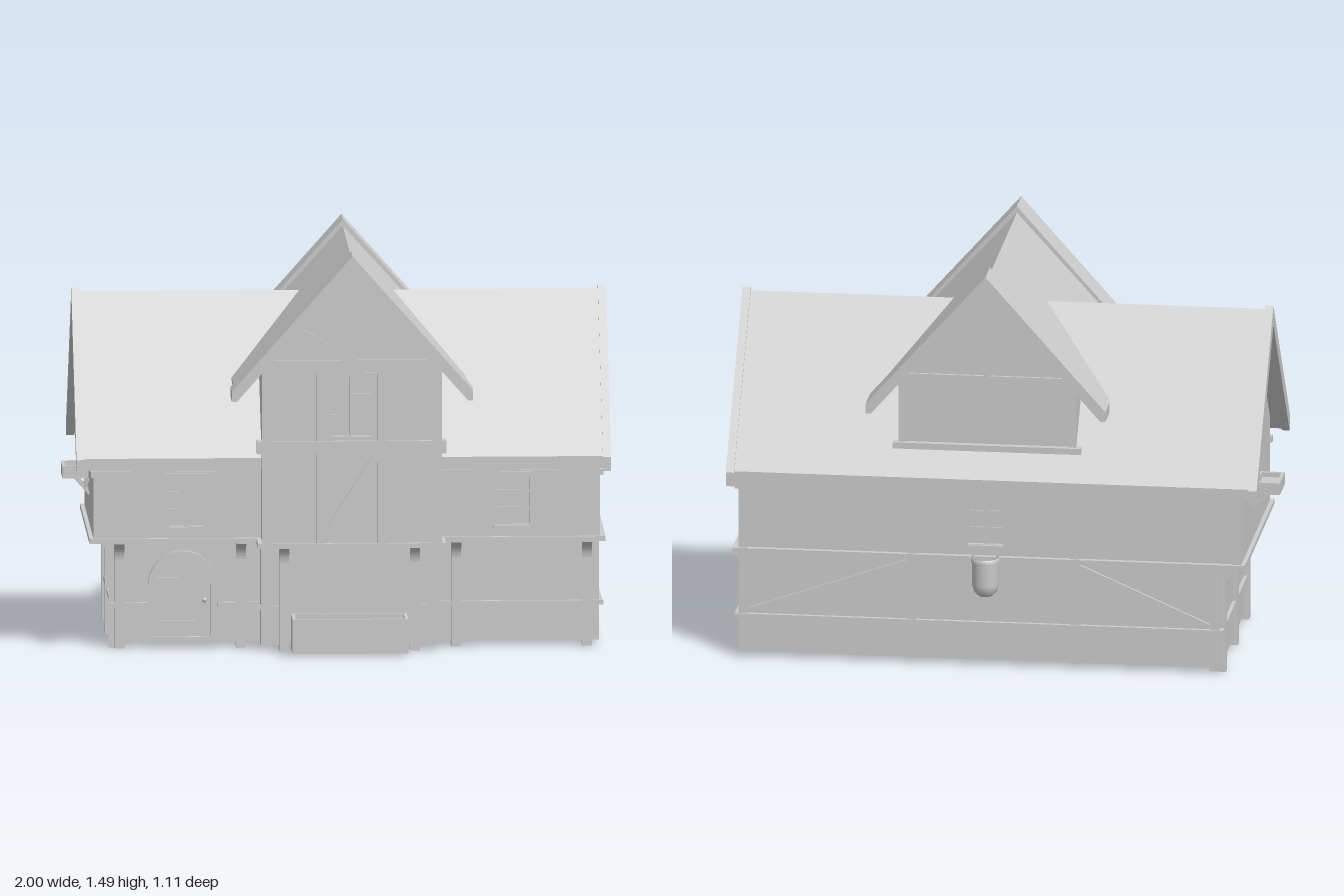
import * as THREE from 'three';

const mat = new THREE.MeshStandardMaterial({ color: 0xcccccc, flatShading: true });
const smooth = new THREE.MeshStandardMaterial({ color: 0xcccccc, side: THREE.DoubleSide });

function add(parent, name, geo, x = 0, y = 0, z = 0, m = mat) {
  const mesh = new THREE.Mesh(geo, m);
  mesh.name = name;
  mesh.position.set(x, y, z);
  parent.add(mesh);
  return mesh;
}
// Box given by its limits
function box(parent, name, x0, x1, y0, y1, z0, z1) {
  return add(parent, name, new THREE.BoxGeometry(x1 - x0, y1 - y0, z1 - z0),
    (x0 + x1) / 2, (y0 + y1) / 2, (z0 + z1) / 2);
}
// Slanted timber on a wall that faces z
function beam(parent, name, xa, ya, xb, yb, z, w = 0.025, d = 0.02) {
  const m = add(parent, name, new THREE.BoxGeometry(Math.hypot(xb - xa, yb - ya), w, d), (xa + xb) / 2, (ya + yb) / 2, z);
  m.rotation.z = Math.atan2(yb - ya, xb - xa);
  return m;
}
const poly = pts => new THREE.Shape(pts.map(p => new THREE.Vector2(p[0], p[1])));
const extrude = (shape, depth) => new THREE.ExtrudeGeometry(shape, { depth, bevelEnabled: false, curveSegments: 10 });
// Profile in (z, y) swept along x
function alongX(parent, name, pts, x0, x1) {
  add(parent, name, extrude(poly(pts.map(([z, y]) => [-z, y])), x1 - x0), x0).rotation.y = Math.PI / 2;
}
// Chevron roof section
function chevron(c, half, ridge, eave, lip, under) {
  return [[c, ridge], [c - half, eave], [c - half, eave - lip], [c - half + 0.018, eave - lip],
    [c, under], [c + half - 0.018, eave - lip], [c + half, eave - lip], [c + half, eave]];
}
// Rectangle with an optional round head, base at y = 0
function opening(w, h, arched, inset = 0, Type = THREE.Shape) {
  const s = new Type(), r = w / 2 - inset;
  s.moveTo(-r, inset);
  s.lineTo(r, inset);
  if (arched) {
    s.lineTo(r, h - w / 2);
    s.absarc(0, h - w / 2, r, 0, Math.PI, false);
  } else {
    s.lineTo(r, h - inset);
    s.lineTo(-r, h - inset);
  }
  s.closePath();
  return s;
}
function frame(parent, name, w, h, arched, t, depth) {
  const s = opening(w, h, arched);
  s.holes.push(opening(w, h, arched, t, THREE.Path));
  add(parent, name, extrude(s, depth));
}
function makeWindow(parent, name, x, y, z, rot, w, h, arched, sill) {
  const g = new THREE.Group();
  g.name = name;
  g.position.set(x, y, z);
  g.rotation.y = rot;
  parent.add(g);
  frame(g, 'windowFrame', w, h, arched, 0.016, 0.018);
  add(g, 'windowPane', extrude(opening(w, h, arched, 0.01), 0.003));
  box(g, 'mullion', -0.005, 0.005, 0.01, h - 0.01, 0, 0.01);
  for (const f of [0.36, 0.66]) box(g, 'glazingBar', -w / 2 + 0.01, w / 2 - 0.01, h * f - 0.004, h * f + 0.004, 0, 0.008);
  if (sill) box(g, 'sill', -w / 2 + 0.015, w / 2 - 0.015, 0, 0.014, 0, 0.03);
  return g;
}
// Post with a curved bracket under the overhang
function post(parent, x, z, rot) {
  const s = new THREE.Shape();
  s.moveTo(-0.04, 0);
  s.lineTo(0.02, 0);
  s.lineTo(0.02, 0.33);
  s.quadraticCurveTo(0.025, 0.385, 0.085, 0.395);
  s.lineTo(0.085, 0.41);
  s.lineTo(-0.04, 0.41);
  s.closePath();
  const g = new THREE.Group();
  g.name = 'bracketPost';
  g.position.set(x, 0, z);
  g.rotation.y = rot;
  add(g, 'post', extrude(s, 0.036), 0.018).rotation.y = -Math.PI / 2;
  parent.add(g);
}

export function createModel() {
  const house = new THREE.Group();
  house.name = 'house';
  const C = -0.058, WX = 0.044; // ridge lines of main house and cross wing

  // Walls
  box(house, 'lowerWall', -0.82, 0.96, 0.02, 0.41, -0.48, 0.262);
  box(house, 'wingLowerWall', -0.285, 0.37, 0.02, 0.41, 0.1, 0.355);
  alongX(house, 'upperWall', [[-0.48, 0.405], [0.36, 0.405], [0.36, 0.745], [C, 1.235], [-0.48, 0.745]], -0.9, 0.96);
  box(house, 'wingUpperWall', -0.285, 0.37, 0.405, 0.81, 0.2, 0.508);
  add(house, 'wingGableWall', extrude(poly([[-0.285, 0.8], [0.37, 0.8], [0.37, 1.08], [WX, 1.44], [-0.285, 1.08]]), 0.958), 0, 0, -0.45);

  // Roofs and their thicker gable edges
  alongX(house, 'mainRoof', chevron(C, 0.482, 1.275, 0.725, 0.045, 1.22), -0.955, 0.985);
  for (const x of [-0.965, 0.968]) alongX(house, 'bargeBoard', chevron(C, 0.492, 1.288, 0.722, 0.052, 1.215), x, x + 0.03);
  add(house, 'wingRoof', extrude(poly(chevron(WX, 0.43, 1.465, 0.99, 0.03, 1.435)), 0.84), 0, 0, -0.39);
  for (const z of [-0.5, 0.42]) add(house, 'wingBargeBoard', extrude(poly(chevron(WX, 0.443, 1.49, 0.99, 0.038, 1.432)), 0.13), 0, 0, z);

  // Bands between the floors
  box(house, 'floorBand', -0.915, 0.98, 0.402, 0.42, -0.5, 0.375);
  box(house, 'wingFloorBand', -0.302, 0.388, 0.402, 0.42, 0.3, 0.522);

  // Ground floor posts
  for (const x of [-0.802, -0.355, 0.435, 0.915]) post(house, x, 0.262, 0);
  for (const x of [-0.2, 0.28]) post(house, x, 0.355, 0);
  for (const z of [0.235, -0.095, -0.44]) post(house, -0.82, z, -Math.PI / 2);

  // Ground floor rails
  for (const [a, b] of [[-0.82, -0.7], [-0.44, -0.285], [0.37, 0.975]])
    box(house, 'frontRail', a, b, 0.152, 0.168, 0.25, 0.277);
  for (const [a, b] of [[-0.29, -0.2], [0.28, 0.375]]) box(house, 'wingRail', a, b, 0.152, 0.168, 0.34, 0.365);
  box(house, 'leftRail', 0.95, 0.972, 0.152, 0.168, -0.495, 0.277);
  box(house, 'rightRail', -0.834, -0.81, 0.152, 0.168, -0.495, 0.277);
  box(house, 'backRail', -0.834, 0.972, 0.152, 0.168, -0.495, -0.47);

  // Back timbers
  for (const x of [0.942, 0.32, -0.285, -0.802]) box(house, 'backLowerPost', x - 0.016, x + 0.016, 0.02, 0.41, -0.49, -0.47);
  for (const x of [0.942, 0.32, -0.285, -0.882]) box(house, 'backUpperPost', x - 0.016, x + 0.016, 0.41, 0.74, -0.49, -0.47);
  box(house, 'backTopRail', -0.91, 0.972, 0.645, 0.668, -0.495, -0.47);
  beam(house, 'backBrace', 0.92, 0.18, 0.34, 0.385, -0.48, 0.018);
  beam(house, 'backBrace', -0.3, 0.39, -0.78, 0.18, -0.48, 0.018);
  box(house, 'frontTopRail', -0.91, 0.972, 0.645, 0.668, 0.34, 0.366);

  // Wing front timbers
  for (const [x, w] of [[-0.268, 0.019], [-0.07, 0.016], [0.152, 0.016], [0.354, 0.019]])
    box(house, 'wingPost', x - w, x + w, 0.41, 1.08, 0.49, 0.518);
  box(house, 'wingMiddleRail', -0.305, 0.39, 0.752, 0.8, 0.47, 0.522);
  beam(house, 'wingBrace', -0.045, 0.46, 0.135, 0.745, 0.508, 0.028);

  // Gable timbers, front and back
  for (const z of [0.508, -0.45]) {
    box(house, 'gableRail', -0.29, 0.375, 1.052, 1.1, z - 0.01, z + 0.01);
    box(house, 'kingPost', WX - 0.012, WX + 0.012, 1.09, 1.43, z - 0.012, z + 0.012);
    beam(house, 'gableStrut', -0.16, 1.22, -0.03, 1.14, z, 0.022);
  }
  box(house, 'dormerSill', -0.305, 0.39, 0.815, 0.838, -0.475, -0.43);
  for (const x of [-0.27, 0.355]) box(house, 'dormerPost', x - 0.015, x + 0.015, 0.82, 1.08, -0.46, -0.44);

  // Windows
  for (const x of [-0.557, 0.635]) makeWindow(house, 'frontWindow', x, 0.45, 0.357, 0, 0.162, 0.21, false, true);
  makeWindow(house, 'wingWindow', 0.04, 0.805, 0.505, 0, 0.185, 0.25, false, true);
  makeWindow(house, 'backWindow', WX, 0.45, -0.477, Math.PI, 0.162, 0.21, false, true);
  makeWindow(house, 'leftArchedWindow', 0.957, 0.648, -0.055, Math.PI / 2, 0.152, 0.262, true, false);
  makeWindow(house, 'rightArchedWindow', -0.897, 0.648, -0.07, -Math.PI / 2, 0.152, 0.262, true, false);

  // Arched door
  const door = new THREE.Group();
  door.name = 'door';
  door.position.set(-0.57, 0.02, 0.26);
  house.add(door);
  frame(door, 'doorFrame', 0.252, 0.34, true, 0.022, 0.024);
  add(door, 'doorLeaf', extrude(opening(0.252, 0.34, true, 0.015), 0.01));
  for (const y of [0.07, 0.23]) box(door, 'doorHinge', -0.1, 0.05, y, y + 0.012, 0.008, 0.016);
  add(door, 'doorHandle', new THREE.SphereGeometry(0.009, 10, 8), 0.08, 0.158, 0.02, smooth);

  // Open planter: four sides and a soil level
  const planter = (name, x0, x1, y0, y1, z0, z1, t) => {
    const g = new THREE.Group();
    g.name = name;
    house.add(g);
    box(g, 'planterBase', x0, x1, y0, y0 + (y1 - y0) * 0.6, z0, z1);
    for (const [a, b] of [[x0, x0 + t], [x1 - t, x1]]) box(g, 'planterEnd', a, b, y0, y1, z0, z1);
    for (const [a, b] of [[z0, z0 + t], [z1 - t, z1]]) box(g, 'planterSide', x0 + t, x1 - t, y0, y1, a, b);
  };
  planter('frontPlanter', -0.175, 0.25, 0.01, 0.138, 0.36, 0.515, 0.012);
  planter('windowBox', -1, -0.905, 0.59, 0.635, -0.145, 0.002, 0.012);
  for (const z of [-0.12, -0.022]) {
    const curve = new THREE.QuadraticBezierCurve3(new THREE.Vector3(-0.9, 0.53, z),
      new THREE.Vector3(-0.91, 0.575, z), new THREE.Vector3(-0.965, 0.592, z));
    curve.points = null;
    const arm = new THREE.TubeGeometry(new THREE.QuadraticBezierCurve3(new THREE.Vector3(-0.9, 0.585, z),
      new THREE.Vector3(-0.925, 0.55, z), new THREE.Vector3(-0.9, 0.53, z)), 6, 0.006, 6);
    add(house, 'windowBoxBracket', arm, 0, 0, 0, smooth);
    beam(house, 'windowBoxStrut', -0.9, 0.53, -0.955, 0.592, z, 0.01, 0.012);
  }

  // Round-bottomed pot under the back window
  const pot = [[0, 0.268], [0.025, 0.274], [0.042, 0.29], [0.05, 0.318], [0.05, 0.4], [0.053, 0.402], [0.053, 0.42], [0.043, 0.42], [0.043, 0.39], [0, 0.39]];
  add(house, 'pot', new THREE.LatheGeometry(pot.map(p => new THREE.Vector2(p[0], p[1])), 24), WX, 0, -0.503, smooth);

  return house;
}
